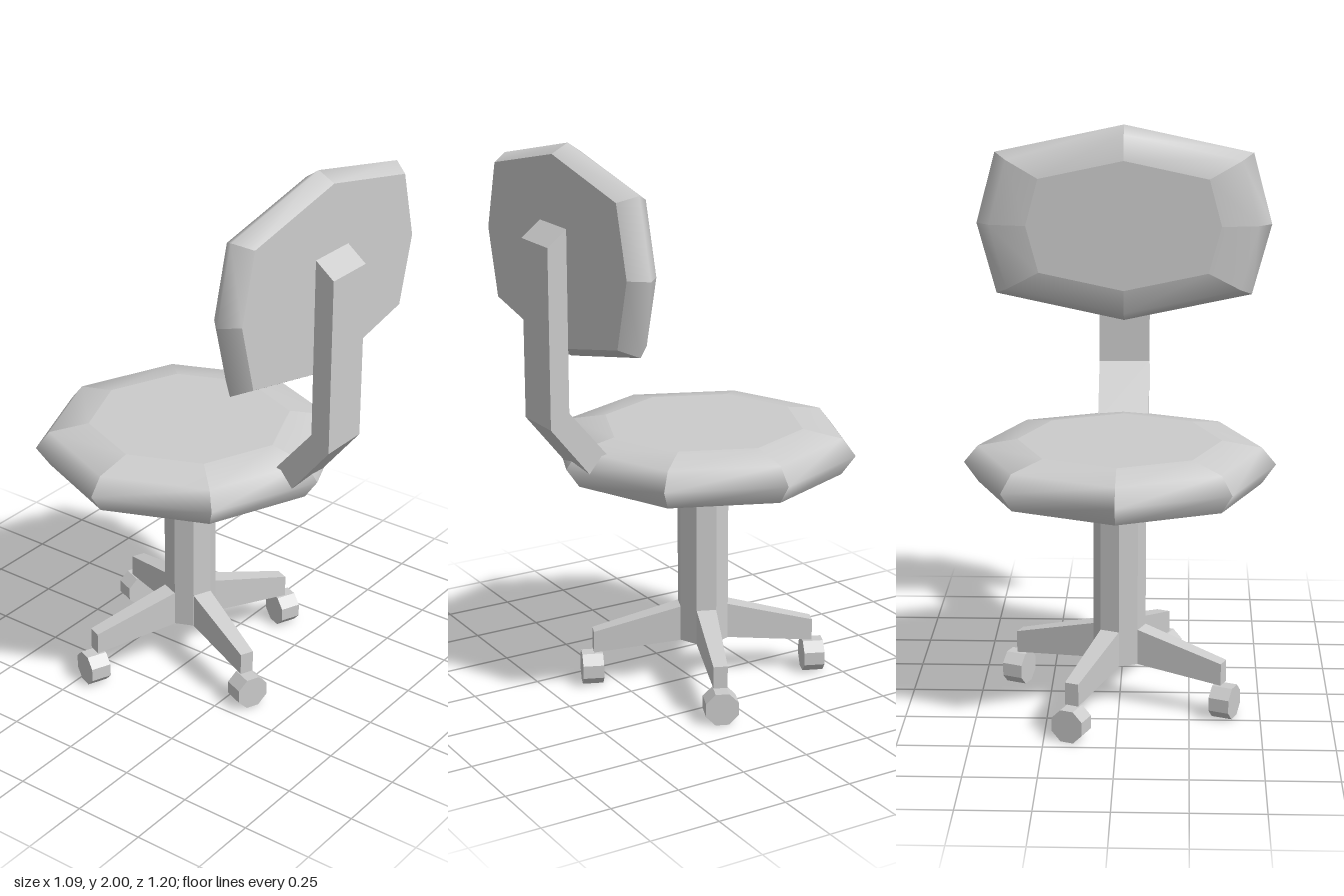
import * as THREE from 'three';

const material = new THREE.MeshStandardMaterial({ color: 0xcccccc });
const flatMaterial = new THREE.MeshStandardMaterial({ color: 0xcccccc, flatShading: true });

function add(parent, name, geometry, mat = flatMaterial) {
  const mesh = new THREE.Mesh(geometry, mat);
  mesh.name = name;
  parent.add(mesh);
  return mesh;
}

// Eight-sided cushion lying in XY, rising along +z.
// rings: [scale, height]; each side is smooth along the profile and creased at its corners.
function cushionGeometry(outline, rings) {
  const positions = [], index = [];
  const point = (i, [scale, h]) => {
    const [x, y] = outline[i % outline.length];
    return positions.push(x * scale, y * scale, h) / 3 - 1;
  };
  for (let i = 0; i < outline.length; i++) {
    let previous = null;
    for (const ring of rings) {
      const pair = [point(i, ring), point(i + 1, ring)];
      if (previous) {
        index.push(previous[0], previous[1], pair[1], previous[0], pair[1], pair[0]);
      }
      previous = pair;
    }
  }
  // flat caps
  const cap = (ring, up) => {
    const ids = outline.map((_, i) => point(i, ring));
    for (let i = 1; i < ids.length - 1; i++) {
      index.push(ids[0], ...(up ? [ids[i], ids[i + 1]] : [ids[i + 1], ids[i]]));
    }
  };
  cap(rings[0], false);
  cap(rings[rings.length - 1], true);

  const geometry = new THREE.BufferGeometry();
  geometry.setAttribute('position', new THREE.Float32BufferAttribute(positions, 3));
  geometry.setIndex(index);
  geometry.computeVertexNormals();
  return geometry;
}

// Tapered leg running along +z from the hub
function legGeometry() {
  const geometry = new THREE.BoxGeometry(1, 1, 1);
  const p = geometry.attributes.position;
  for (let i = 0; i < p.count; i++) {
    const outer = p.getZ(i) > 0, top = p.getY(i) > 0;
    const width = outer ? 0.05 : 0.071;
    const y = outer ? (top ? 0.2 : 0.12) : (top ? 0.285 : 0.155);
    p.setXYZ(i, Math.sign(p.getX(i)) * width / 2, y, outer ? 0.4 : 0.08);
  }
  geometry.computeVertexNormals();
  return geometry;
}

export function createModel() {
  const chair = new THREE.Group();
  chair.name = 'officeChair';
  const centreZ = -0.05;

  // Seat cushion
  const seatOutline = [];
  for (let i = 0; i < 8; i++) {
    const a = i * Math.PI / 4;
    seatOutline.push([0.547 * Math.cos(a), 0.547 * Math.sin(a)]);
  }
  const seat = add(chair, 'seat',
    cushionGeometry(seatOutline, [[0.91, 0], [1, 0.07], [0.91, 0.13], [0.655, 0.155]]), material);
  seat.rotation.x = -Math.PI / 2;
  seat.position.set(0, 0.81, centreZ);

  // Backrest cushion, padded side facing -z
  const backOutline = [[0.54, 0], [0.47, 0.26], [0, 0.36], [-0.47, 0.26],
    [-0.54, 0], [-0.47, -0.26], [0, -0.36], [0.47, -0.26]];
  const backrest = add(chair, 'backrest',
    cushionGeometry(backOutline, [[0.91, 0], [1, 0.06], [0.91, 0.107], [0.66, 0.13]]), material);
  backrest.rotation.y = Math.PI;
  backrest.position.set(0, 1.64, 0.53);

  // Bent bracket joining seat and backrest, profile as (z, y)
  const profile = [[0.6, 1.06], [0.6, 1.68], [0.53, 1.735], [0.53, 1.11], [0.37, 0.92], [0.43, 0.85]];
  const bracketShape = new THREE.Shape(profile.map(([z, y]) => new THREE.Vector2(-z, y)));
  const bracketGeometry = new THREE.ExtrudeGeometry(bracketShape, { depth: 0.186, bevelEnabled: false });
  bracketGeometry.translate(0, 0, -0.093).rotateY(Math.PI / 2);
  add(chair, 'backBracket', bracketGeometry);

  // Central column
  const column = add(chair, 'column', new THREE.CylinderGeometry(0.093, 0.093, 0.67, 8));
  column.position.set(0, 0.155 + 0.335, centreZ);

  // Four legs, each with a caster whose axle points outwards
  const legShape = legGeometry();
  const casterShape = new THREE.CylinderGeometry(0.062, 0.062, 0.075, 8);
  casterShape.rotateY(Math.PI / 8).rotateX(Math.PI / 2);
  for (let i = 0; i < 4; i++) {
    const arm = new THREE.Group();
    arm.name = 'baseArm' + (i + 1);
    arm.position.z = centreZ;
    arm.rotation.y = -Math.PI / 8 + i * Math.PI / 2;
    add(arm, 'leg', legShape);
    add(arm, 'caster', casterShape).position.set(0, 0.0573, 0.405);
    chair.add(arm);
  }
  return chair;
}
